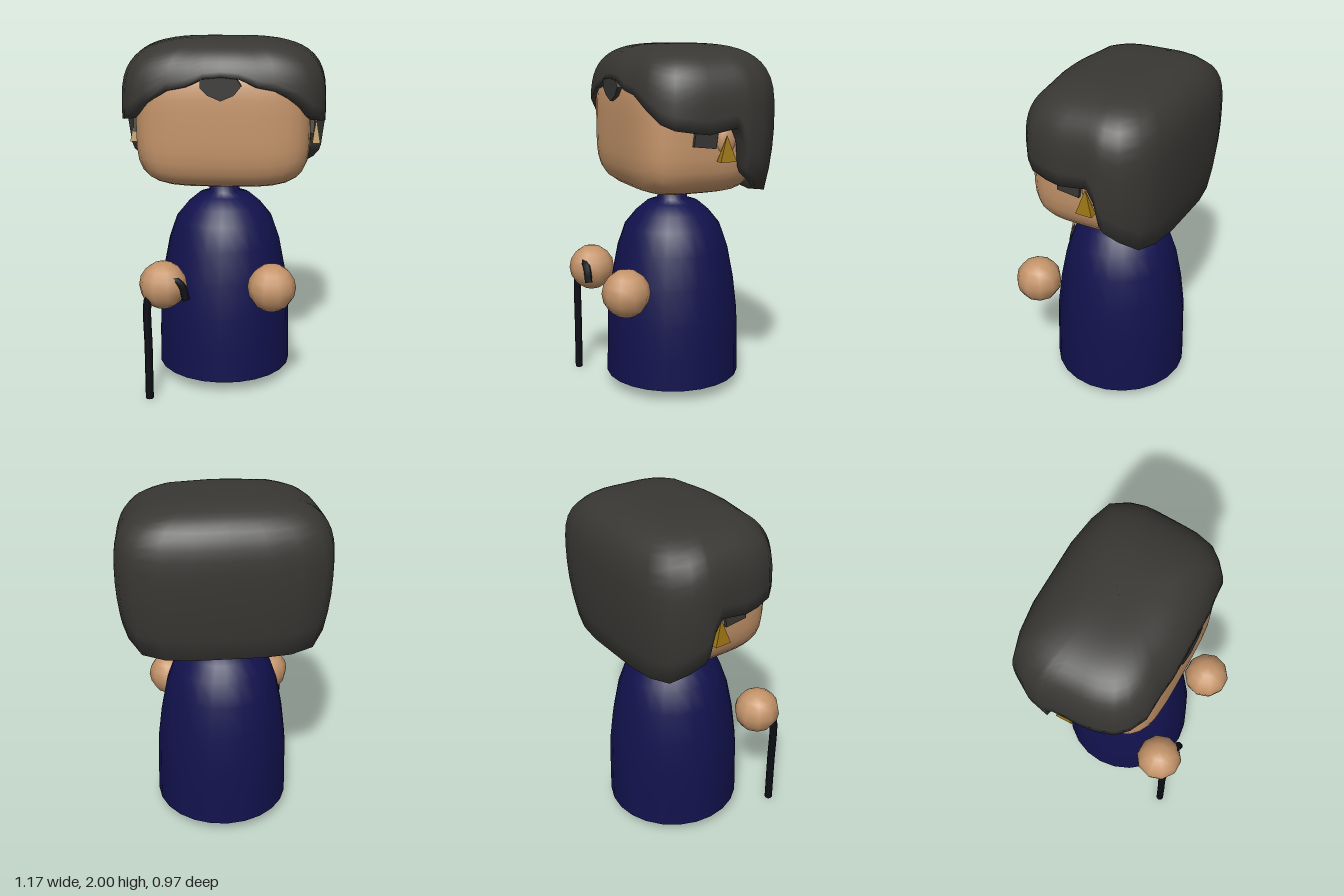
import * as THREE from 'three';
import { mergeVertices } from 'three/addons/utils/BufferGeometryUtils.js';

const mat = (color, side = THREE.FrontSide) => new THREE.MeshStandardMaterial({ color, side });

// Box inflated into a rounded block: every vertex moves onto a superellipsoid
function roundedBlock(rx, ry, rz, power, segments) {
  const geo = new THREE.BoxGeometry(2, 2, 2, segments, segments, segments);
  geo.deleteAttribute('normal');
  geo.deleteAttribute('uv');
  const pos = geo.attributes.position;
  const v = new THREE.Vector3();
  for (let i = 0; i < pos.count; i++) {
    v.fromBufferAttribute(pos, i);
    const n = (Math.abs(v.x) ** power + Math.abs(v.y) ** power + Math.abs(v.z) ** power) ** (1 / power);
    pos.setXYZ(i, (v.x / n) * rx, (v.y / n) * ry, (v.z / n) * rz);
  }
  const merged = mergeVertices(geo, 1e-4);
  merged.computeVertexNormals();
  return merged;
}

// Hair shell: each column has a plan position (x, z) and the height of its lower edge
function hairGeometry() {
  const half = [
    [0, 0.345, 1.81], [0.1, 0.342, 1.8], [0.2, 0.328, 1.755], [0.3, 0.312, 1.735],
    [0.42, 0.295, 1.67], [0.49, 0.24, 1.595], [0.54, 0.18, 1.565], [0.568, 0.08, 1.55],
    [0.575, 0, 1.54], [0.583, -0.16, 1.57], [0.584, -0.2, 1.5], [0.584, -0.225, 1.36],
    [0.58, -0.25, 1.32], [0.56, -0.33, 1.27], [0.5, -0.425, 1.21], [0.37, -0.467, 1.19],
    [0.2, -0.49, 1.19], [0, -0.49, 1.19],
  ];
  const mirrored = half.slice(1, -1).reverse().map(([x, z, y]) => [-x, z, y]);
  const columns = [...half, ...mirrored];
  const top = 2, wide = 1.6, drop = 0.4, cz = -0.08, power = 3.3, rows = 18;

  // Dome above the widest level, slight taper below it
  const scaleAt = (y) => {
    const h = (y - wide) / drop;
    return h > 0 ? Math.max(0, 1 - h ** power) ** (1 / power) : 1 - 0.09 * h * h;
  };
  const positions = [], index = [];
  const put = (x, z, y, inset) => {
    const s = scaleAt(y) * inset;
    positions.push(x * s, y, cz + (z - cz) * s);
  };
  for (let r = 0; r <= rows + 3; r++) {
    for (const [x, z, edge] of columns) {
      if (r <= rows) put(x, z, top - (top - edge) * (r / rows) ** 3, 1);
      else put(x, z, edge + (r - rows - 1) * 0.05, 0.88); // turned-in rim
    }
  }
  const n = columns.length;
  for (let r = 0; r < rows + 3; r++) {
    for (let c = 0; c < n; c++) {
      const a = r * n + c, b = r * n + ((c + 1) % n);
      if (r > 0) index.push(a, a + n, b);
      index.push(b, a + n, b + n);
    }
  }
  const geo = new THREE.BufferGeometry();
  geo.setAttribute('position', new THREE.Float32BufferAttribute(positions, 3));
  geo.setIndex(index);
  const merged = mergeVertices(geo, 1e-5);
  merged.computeVertexNormals();
  return merged;
}

export function createModel() {
  const group = new THREE.Group();
  const skin = mat(0xc4946a);
  const hairMat = mat(0x383734, THREE.DoubleSide);
  const robe = mat(0x12124e);
  const gold = mat(0x9a7414);
  const black = mat(0x0c0e15);

  const add = (name, geo, material, x = 0, y = 0, z = 0) => {
    const mesh = new THREE.Mesh(geo, material);
    mesh.name = name;
    mesh.position.set(x, y, z);
    group.add(mesh);
    return mesh;
  };

  // Bell-shaped body with neck
  const profile = [
    [0.392, 0.07], [0.389, 0.25], [0.384, 0.45], [0.36, 0.65], [0.325, 0.83], [0.28, 0.96],
    [0.215, 1.04], [0.15, 1.095], [0.088, 1.115], [0.087, 1.2],
  ].map(([r, y]) => new THREE.Vector2(r, y));
  add('body', new THREE.LatheGeometry(profile, 24), robe, 0, 0, -0.05);
  const base = add('bodyBase', new THREE.CircleGeometry(0.392, 24), robe, 0, 0.07, -0.05);
  base.rotation.x = Math.PI / 2;

  // Head and hair
  add('head', roundedBlock(0.49, 0.365, 0.36, 4.2, 10), skin, 0, 1.54, -0.05);
  add('hair', hairGeometry(), hairMat);

  // Pointed lock over the forehead
  const lock = new THREE.Shape([
    [-0.11, 0.05], [-0.11, 0], [-0.07, -0.04], [0, -0.07], [0.07, -0.04], [0.11, 0.01], [0.08, 0.06],
  ].map(([x, y]) => new THREE.Vector2(x, y)));
  add('foreheadLock', new THREE.ExtrudeGeometry(lock, { depth: 0.03, bevelEnabled: false }),
    hairMat, 0, 1.755, 0.298);

  // Ears, sideburns and earrings on both sides
  for (const [side, s] of [['left', 1], ['right', -1]]) {
    const ear = add(side + 'Ear', new THREE.SphereGeometry(1, 10, 8), skin, s * 0.48, 1.5, -0.14);
    ear.scale.set(0.035, 0.08, 0.06);
    const burn = add(side + 'Sideburn', new THREE.BoxGeometry(0.04, 0.11, 0.13), hairMat, s * 0.49, 1.52, -0.015);
    burn.rotation.x = -0.12;
    const earring = add(side + 'Earring', new THREE.ConeGeometry(0.05, 0.14, 4, 1), gold, s * 0.53, 1.46, -0.125);
    earring.geometry.rotateY(Math.PI / 4);
    earring.scale.set(0.65, 1, 1.35);
    earring.material.flatShading = true;
  }

  // Ball hands
  add('leftHand', new THREE.SphereGeometry(0.135, 10, 8), skin, 0.285, 0.66, 0.355);
  add('rightHand', new THREE.SphereGeometry(0.135, 10, 8), skin, -0.32, 0.66, 0.342);

  // Walking cane with a hooked handle
  const canePath = new THREE.CatmullRomCurve3([
    [-0.4, 0], [-0.4, 0.3], [-0.4, 0.58], [-0.375, 0.66], [-0.32, 0.71],
    [-0.26, 0.715], [-0.21, 0.68], [-0.185, 0.6],
  ].map(([x, y]) => new THREE.Vector3(x, y, 0.41)));
  add('cane', new THREE.TubeGeometry(canePath, 40, 0.023, 8), black);
  for (const [name, t, flip] of [['caneFoot', 0, -1], ['caneTip', 1, 1]]) {
    const cap = add(name, new THREE.CircleGeometry(0.023, 8), black);
    cap.position.copy(canePath.getPointAt(t));
    cap.lookAt(canePath.getTangentAt(t).multiplyScalar(flip).add(cap.position));
  }
  return group;
}
